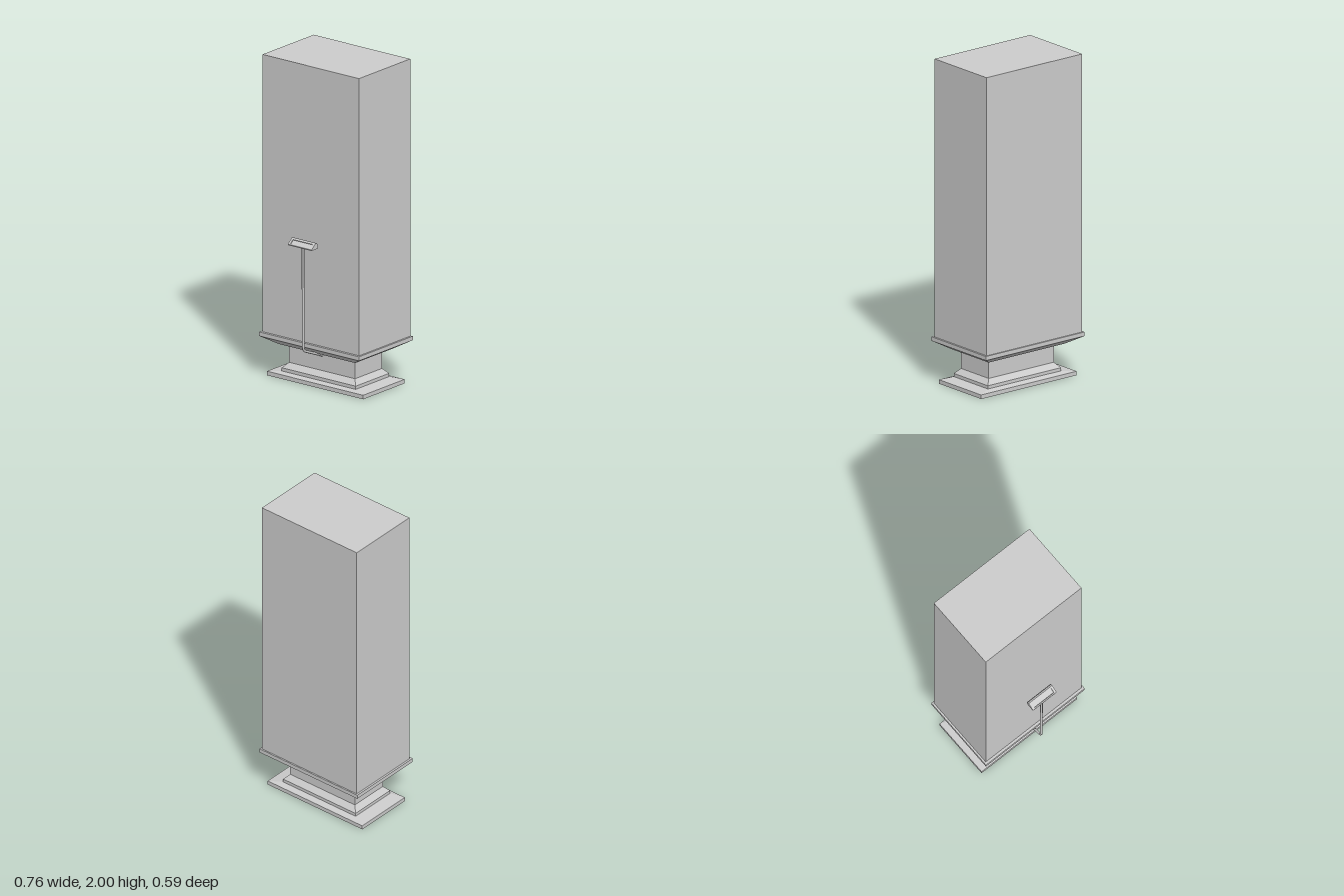
import * as THREE from 'three';

const grey = new THREE.MeshStandardMaterial({ color: 0xcccccc, flatShading: true });

// Stack of rectangular sections [halfWidth, y, zBack, zFront], closed at both ends.
function rectLoft(sections) {
  const pos = [];
  const rings = sections.map(([w, y, b, f]) => [[-w, y, f], [w, y, f], [w, y, b], [-w, y, b]]);
  const quad = (a, b, c, d) => pos.push(...a, ...b, ...c, ...a, ...c, ...d);
  for (let i = 0; i < rings.length - 1; i++) {
    const lo = rings[i], hi = rings[i + 1];
    for (let k = 0; k < 4; k++) {
      const n = (k + 1) % 4;
      quad(lo[k], lo[n], hi[n], hi[k]);
    }
  }
  const top = rings[rings.length - 1], bot = rings[0];
  quad(top[0], top[1], top[2], top[3]);
  quad(bot[3], bot[2], bot[1], bot[0]);
  const g = new THREE.BufferGeometry();
  g.setAttribute('position', new THREE.Float32BufferAttribute(pos, 3));
  g.computeVertexNormals();
  return g;
}

function rectPath(PathClass, x0, y0, x1, y1) {
  return new PathClass([[x0, y0], [x1, y0], [x1, y1], [x0, y1]].map(([x, y]) => new THREE.Vector2(x, y)));
}

export function createModel() {
  const model = new THREE.Group();
  const add = (name, geometry, parent = model) => {
    const mesh = new THREE.Mesh(geometry, grey);
    mesh.name = name;
    parent.add(mesh);
    return mesh;
  };

  // Foot: slab with a faintly sloped top, then a chamfered plinth
  add('baseSlab', rectLoft([
    [0.365, 0, -0.238, 0.152], [0.365, 0.025, -0.238, 0.152], [0.28, 0.035, -0.198, 0.118],
  ]));
  add('plinth', rectLoft([
    [0.28, 0.03, -0.198, 0.118], [0.28, 0.055, -0.198, 0.118], [0.25, 0.087, -0.168, 0.087],
  ]));
  add('neck', rectLoft([[0.25, 0.08, -0.168, 0.087], [0.25, 0.21, -0.168, 0.087]]));

  // Flared collar with a straight rim under the case
  add('collar', rectLoft([
    [0.29, 0.205, -0.216, 0.134], [0.378, 0.255, -0.298, 0.208], [0.378, 0.28, -0.298, 0.208],
  ]));
  add('case', rectLoft([[0.366, 0.28, -0.289, 0.192], [0.366, 2, -0.289, 0.192]]));

  // Bent rod rising from the neck
  const v = (y, z) => new THREE.Vector3(0, y, z);
  const path = new THREE.CurvePath();
  path.add(new THREE.LineCurve3(v(0.18, 0.08), v(0.246, 0.242)));
  path.add(new THREE.QuadraticBezierCurve3(v(0.246, 0.242), v(0.254, 0.262), v(0.28, 0.262)));
  path.add(new THREE.LineCurve3(v(0.28, 0.262), v(0.91, 0.266)));
  const rod = add('rod', new THREE.TubeGeometry(path, 90, 0.008, 8));
  rod.material = new THREE.MeshStandardMaterial({ color: 0xcccccc, side: THREE.DoubleSide });

  // Head: prism body with a raised frame on its sloping front
  const head = new THREE.Group();
  head.name = 'head';
  model.add(head);
  const depth = 0.006;
  const low = new THREE.Vector2(0.296, 0.906), high = new THREE.Vector2(0.256, 0.939);
  const dir = high.clone().sub(low), len = dir.length();
  dir.normalize();
  const inward = new THREE.Vector2(-dir.y, dir.x).multiplyScalar(depth);
  const a = low.clone().add(inward), b = high.clone().add(inward);
  const profile = new THREE.Shape([
    new THREE.Vector2(0.238, 0.9), new THREE.Vector2(0.296, 0.9), low, a, b, high,
    new THREE.Vector2(0.246, 0.936), new THREE.Vector2(0.238, 0.922),
  ].map((p) => new THREE.Vector2(-p.x, p.y)));
  const body = new THREE.ExtrudeGeometry(profile, { depth: 0.18, bevelEnabled: false });
  body.translate(0, 0, -0.09).rotateY(Math.PI / 2);
  // After the turn, profile x = -z, so the body faces the front
  add('headBody', body, head);

  const frameShape = rectPath(THREE.Shape, -0.09, 0, 0.09, len);
  frameShape.holes.push(rectPath(THREE.Path, -0.075, len * 0.15, 0.075, len * 0.74));
  const frame = add('headFrame', new THREE.ExtrudeGeometry(frameShape, { depth, bevelEnabled: false }), head);
  frame.rotation.x = -Math.atan2(low.x - high.x, high.y - low.y);
  frame.position.set(0, a.y, a.x);

  return model;
}
